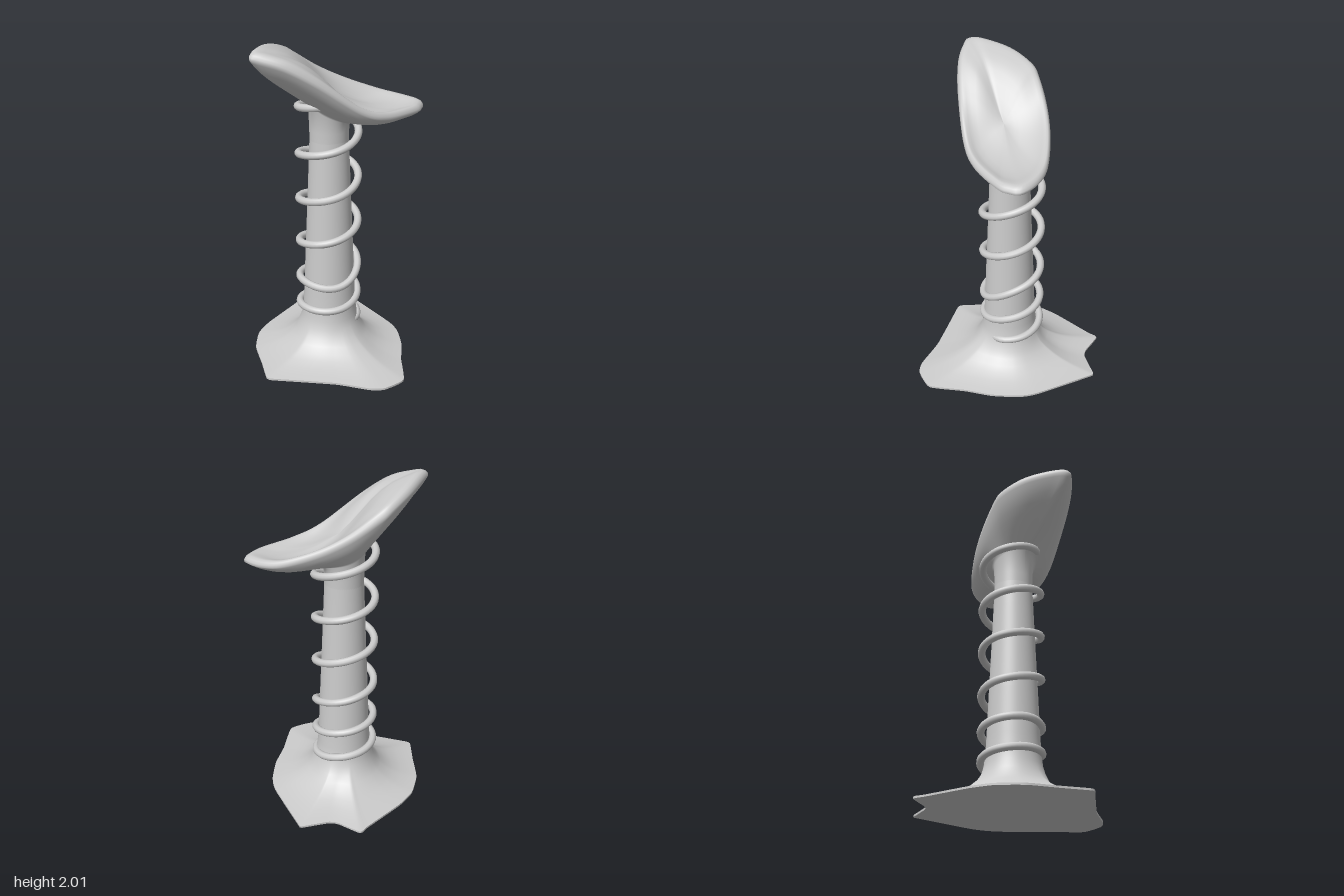
import * as THREE from 'three';

const V = (x, y, z) => new THREE.Vector3(x, y, z);
const { lerp, smoothstep } = THREE.MathUtils;
const AXIS = V(-0.02, 0, -0.017); // column axis

// Skin a stack of closed rings; equal neighbours make a crisp edge.
function loft(rings) {
  const n = rings[0].length, pos = [], idx = [];
  rings.forEach(r => r.forEach(p => pos.push(p.x, p.y, p.z)));
  for (let i = 0; i < rings.length - 1; i++) {
    for (let j = 0; j < n; j++) {
      const k = (j + 1) % n;
      const a = i * n + j, b = a + n, c = i * n + k, d = c + n;
      idx.push(a, b, c, b, d, c);
    }
  }
  const g = new THREE.BufferGeometry();
  g.setAttribute('position', new THREE.Float32BufferAttribute(pos, 3));
  g.setIndex(idx);
  g.computeVertexNormals();
  return g;
}

// Closed smooth outline through a few points.
function outline(points, count, tension) {
  const curve = new THREE.CatmullRomCurve3(points.map(p => V(...p)), true, 'catmullrom', tension);
  return curve.getSpacedPoints(count).slice(0, count);
}

// Point on the column circle of radius r that faces p.
function onColumn(p, r, y) {
  const a = Math.atan2(p.z - AXIS.z, p.x - AXIS.x);
  return V(AXIS.x + r * Math.cos(a), y, AXIS.z + r * Math.sin(a));
}

// Irregular foot flaring up into the tapered column
function standGeometry() {
  const edge = outline([
    [0.03, 0, -0.6], [0.135, 0, -0.49], [0.19, 0, -0.463], [0.36, 0, -0.463], [0.372, 0, -0.445],
    [0.44, 0, -0.07], [0.435, 0, 0.05], [0.38, 0, 0.21], [0.295, 0, 0.36], [0.2, 0, 0.565],
    [0.055, 0, 0.598], [-0.025, 0, 0.565], [-0.18, 0, 0.43], [-0.4, 0, 0.29], [-0.52, 0, 0.215],
    [-0.535, 0, 0.185], [-0.5, 0, 0.02], [-0.465, 0, -0.165], [-0.385, 0, -0.315],
    [-0.275, 0, -0.41], [-0.03, 0, -0.56]], 160, 0.25);
  const flare = (t, y) => edge.map(p => {
    const q = onColumn(p, 0.185, y);
    return V(lerp(q.x, p.x, t), y, lerp(q.z, p.z, t));
  });
  const rings = [edge.map(() => V(AXIS.x, 0, AXIS.z)), flare(1, 0), flare(1, 0), flare(1, 0.012), flare(1, 0.012)];
  for (const [t, y] of [[0.85, 0.02], [0.65, 0.034], [0.46, 0.056], [0.31, 0.083], [0.18, 0.115], [0.08, 0.15]]) {
    rings.push(flare(t, y));
  }
  for (const [r, y] of [[0.184, 0.2], [0.17, 0.25], [0.162, 0.31], [0.156, 0.42], [0.145, 0.7],
    [0.132, 1.0], [0.122, 1.25], [0.116, 1.4], [0.116, 1.46]]) {
    rings.push(edge.map(p => onColumn(p, r, y)));
  }
  return loft(rings);
}

// Dished, tilted seat growing out of the column top
function seatGeometry() {
  const rim = outline([
    [-0.545, 1.965, 0.09], [-0.5, 1.97, 0.02], [-0.38, 1.945, -0.12], [-0.25, 1.895, -0.215],
    [-0.165, 1.845, -0.236], [0, 1.745, -0.233], [0.177, 1.66, -0.198], [0.37, 1.59, -0.125],
    [0.48, 1.565, -0.04], [0.545, 1.555, 0.07], [0.51, 1.55, 0.135], [0.44, 1.55, 0.185],
    [0.225, 1.565, 0.255], [0.05, 1.625, 0.271], [-0.205, 1.805, 0.24], [-0.38, 1.91, 0.195],
    [-0.51, 1.955, 0.13]], 120, 0.5);
  // underside
  const under = t => rim.map(p => {
    const q = onColumn(p, 0.122, 0);
    const y = lerp(1.495, p.y, 0.25 + 0.75 * t) - 0.045 * t * (1 - t ** 6);
    return V(lerp(q.x, p.x, t), y, lerp(q.z, p.z, t));
  });
  // upper side: a shallow channel running along x, rising to a rounded rim
  const channel = new THREE.CatmullRomCurve3([
    V(-0.55, 1.965, 0), V(-0.4, 1.91, 0), V(-0.25, 1.84, 0), V(-0.1, 1.75, 0), V(0.05, 1.665, 0),
    V(0.2, 1.605, 0), V(0.35, 1.57, 0), V(0.55, 1.555, 0)]).getSpacedPoints(100);
  const floorAt = x => {
    const i = Math.max(1, channel.findIndex(p => p.x >= x));
    const a = channel[i - 1], b = channel[i];
    return lerp(a.y, b.y, (x - a.x) / (b.x - a.x));
  };
  const top = (s, lift) => rim.map(p => {
    const x = p.x * s;
    return V(x, lerp(floorAt(x), p.y + lift, smoothstep(s, 0, 0.93)), lerp(0.025, p.z, s));
  });
  return loft([
    rim.map(p => onColumn(p, 0.116, 1.4)), rim.map(p => onColumn(p, 0.117, 1.46)),
    ...[0, 0.12, 0.25, 0.4, 0.55, 0.7, 0.82, 0.91, 0.97].map(under),
    top(1, 0), top(0.995, 0.014), top(0.975, 0.028), top(0.94, 0.038), top(0.89, 0.039), top(0.82, 0.032),
    ...[0.72, 0.6, 0.48, 0.36, 0.24, 0.12, 0].map(s => top(s, 0.025)),
  ]);
}

// Coil: heights at every quarter turn, from the front round to the right
function coilPath() {
  const heights = [0.205, 0.235, 0.29, 0.32, 0.335, 0.41, 0.47, 0.5, 0.49, 0.62, 0.7, 0.75, 0.81,
    0.9, 0.98, 1.03, 1.09, 1.19, 1.26, 1.32, 1.38, 1.47, 1.55, 1.61, 1.65];
  const rise = new THREE.SplineCurve(heights.map((h, i) => new THREE.Vector2(i, h)));
  const points = [], last = heights.length - 1.4;
  for (let q = 0; q <= last; q += 0.2) {
    const a = Math.PI / 2 * (1 - q);
    // both ends sink inwards
    const r = 0.178 - 0.05 * Math.max(0, 0.6 - q) - 0.03 * Math.max(0, q - last + 0.6);
    points.push(V(-0.02 + r * Math.cos(a), rise.getPoint(q / (heights.length - 1)).y, -0.03 + r * Math.sin(a)));
  }
  return new THREE.CatmullRomCurve3(points);
}

export function createModel() {
  const group = new THREE.Group();
  const material = new THREE.MeshStandardMaterial({ color: 0xcccccc });
  const add = (name, geometry) => {
    const mesh = new THREE.Mesh(geometry, material);
    mesh.name = name;
    group.add(mesh);
  };
  add('footAndColumn', standGeometry());
  add('seat', seatGeometry());
  add('coil', new THREE.TubeGeometry(coilPath(), 260, 0.023, 10));
  return group;
}
